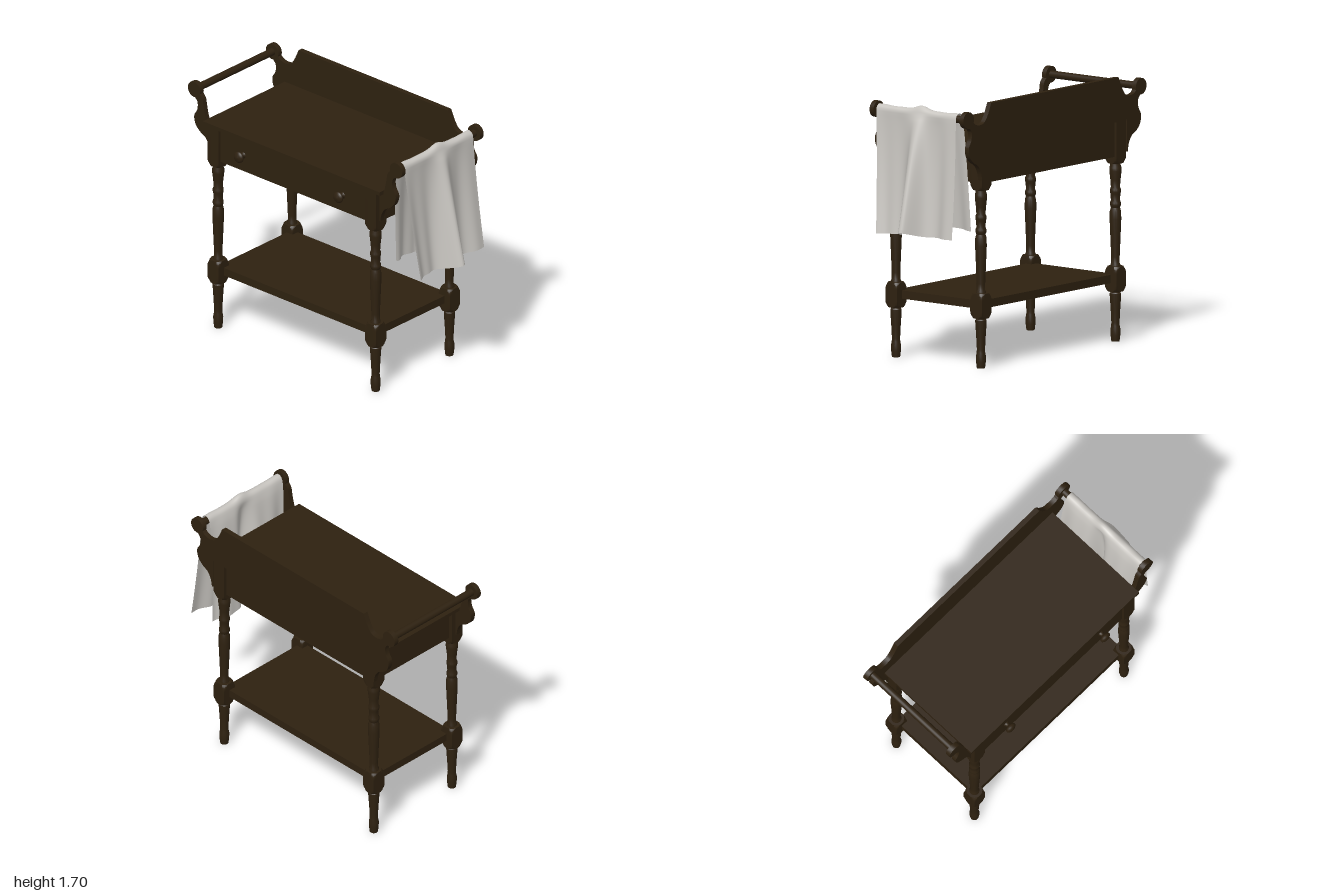
import * as THREE from 'three';
import { toCreasedNormals } from 'three/addons/utils/BufferGeometryUtils.js';

const wood = new THREE.MeshStandardMaterial({ color: 0x2e2110 });
wood.name = 'dark wood';
const linen = new THREE.MeshStandardMaterial({ color: 0xc8c5c0, side: THREE.DoubleSide });
linen.name = 'linen';

const LEG_X = 0.672, LEG_Z = 0.345, HALF = 0.048;
const RAIL_X = 0.862, RAIL_Y = 1.61, SCROLL_R = 0.053;

function add(parent, name, geometry, x = 0, y = 0, z = 0, material = wood) {
  const mesh = new THREE.Mesh(geometry, material);
  mesh.name = name;
  mesh.position.set(x, y, z);
  parent.add(mesh);
  return mesh;
}

function box(parent, name, w, d, y0, y1, x = 0, z = 0) {
  return add(parent, name, new THREE.BoxGeometry(w, y1 - y0, d), x, (y0 + y1) / 2, z);
}

const vectors = (list) => list.map(([x, y]) => new THREE.Vector2(x, y));

// Square block whose corners are turned away towards the ends
function turnedBlock(y0, y1, taperTop) {
  const h = y1 - y0, taper = 0.045, rows = 12;
  const g = new THREE.CylinderGeometry(1, 1, h, 24, rows);
  const p = g.attributes.position;
  for (let i = 0; i < p.count; i++) {
    const row = Math.round((p.getY(i) / h + 0.5) * rows);
    // rows gather in the tapered ends
    const y = row <= 6 ? (row / 6) * taper : h - ((rows - row) / 5) * taper;
    const near = Math.min(y, taperTop ? h - y : h);
    const s = Math.min(near / taper, 1);
    const r = HALF * (1.04 + 0.375 * Math.sin(s * Math.PI / 2));
    const c = (v) => THREE.MathUtils.clamp(v * r, -HALF, HALF);
    p.setXYZ(i, c(p.getX(i)), y - h / 2, c(p.getZ(i)));
  }
  return toCreasedNormals(g, 0.5);
}

// Turned legs with square blocks at the shelf and the drawer case
function addLegs(parent) {
  const lower = vectors([[0, 0], [0.026, 0], [0.031, 0.04], [0.032, 0.075], [0.027, 0.1], [0.026, 0.12],
    [0.03, 0.2], [0.036, 0.29], [0.036, 0.305], [0.031, 0.312], [0.031, 0.33]]);
  const upper = vectors([[0.032, 0.47], [0.032, 0.49], [0.027, 0.5], [0.027, 0.54], [0.032, 0.66], [0.037, 0.78],
    [0.036, 0.83], [0.029, 0.855], [0.035, 0.87], [0.035, 0.885], [0.029, 0.9], [0.031, 0.94],
    [0.035, 0.955], [0.035, 0.97], [0.029, 0.985], [0.032, 1.03], [0.039, 1.09], [0.039, 1.11],
    [0.033, 1.125], [0.033, 1.15]]);
  const parts = {
    legFoot: [toCreasedNormals(new THREE.LatheGeometry(lower, 20), 0.6), 0],
    legShaft: [toCreasedNormals(new THREE.LatheGeometry(upper, 20), 0.6), 0],
    shelfBlock: [turnedBlock(0.32, 0.48, true), 0.4],
    caseBlock: [turnedBlock(1.14, 1.412, false), 1.276],
  };
  for (const sx of [-1, 1]) for (const sz of [-1, 1]) {
    const leg = new THREE.Group();
    leg.name = (sz > 0 ? 'front' : 'back') + (sx > 0 ? 'Left' : 'Right') + 'Leg';
    leg.position.set(sx * LEG_X, 0, sz * LEG_Z);
    for (const [name, [g, y]] of Object.entries(parts)) add(leg, name, g, 0, y);
    parent.add(leg);
  }
}

// Scroll end and the outer S-curve shared by the back board and the arms
function scrollEdge(path) {
  const deg = Math.PI / 180;
  path.absarc(RAIL_X, RAIL_Y, SCROLL_R, 200 * deg, -100 * deg, true);
  path.splineThru(vectors([[0.832, 1.53], [0.834, 1.48], [0.86, 1.43], [0.85, 1.374],
    [0.815, 1.335], [0.765, 1.305], [0.738, 1.26], [0.728, 1.21]]));
  path.lineTo(0.719, 1.21);
  path.lineTo(0.719, 1.42);
}

function extrude(points, depth) {
  const g = new THREE.ExtrudeGeometry(new THREE.Shape(points), { depth, bevelEnabled: false });
  return toCreasedNormals(g, 0.6);
}

const mirrored = (points) => points.map((p) => new THREE.Vector2(-p.x, p.y)).reverse();

function addBoardAndArms(parent) {
  const half = new THREE.Path();
  half.moveTo(0.637, 1.695);
  half.splineThru(vectors([[0.65, 1.665], [0.672, 1.62], [0.705, 1.578], [0.75, 1.566], [0.79, 1.574], [0.812, 1.592]]));
  scrollEdge(half);
  const right = half.getPoints(8);
  add(parent, 'backBoard', extrude([...right, ...mirrored(right)], 0.033), 0, 0, -0.4);

  const arm = new THREE.Path();
  arm.moveTo(0.755, 1.42);
  arm.splineThru(vectors([[0.768, 1.46], [0.781, 1.52], [0.79, 1.565], [0.812, 1.592]]));
  scrollEdge(arm);
  const outline = arm.getPoints(8);
  add(parent, 'leftFrontArm', extrude(outline, 0.033), 0, 0, 0.33);
  add(parent, 'rightFrontArm', extrude(mirrored(outline), 0.033), 0, 0, 0.33);

  const rail = new THREE.CylinderGeometry(0.024, 0.024, 0.72, 20).rotateX(Math.PI / 2);
  for (const s of [-1, 1]) add(parent, s > 0 ? 'leftTowelRail' : 'rightTowelRail', rail, s * RAIL_X, RAIL_Y, -0.015);
}

// Towel draped over the left rail, with one deep fold down the middle
function towelGeometry() {
  const g = new THREE.PlaneGeometry(1, 1, 60, 64);
  const p = g.attributes.position;
  const arcHalf = 0.06;
  for (let i = 0; i < p.count; i++) {
    const across = p.getX(i), t = p.getY(i);
    const outer = t > 0;
    const d = Math.max(0, (Math.abs(t) - arcHalf) / (0.5 - arcHalf));
    const z0 = across * 0.645;
    const fold = Math.exp(-(((z0 + 0.025) / 0.055) ** 2));
    const ripple = 0.016 * Math.cos(z0 * 19) + 0.007 * Math.sin(z0 * 43 + (outer ? 0 : 2));
    const drape = Math.pow(d, 0.6);
    let x, y;
    if (d === 0) {
      const a = (t / arcHalf) * (Math.PI / 2);
      x = RAIL_X + 0.033 * Math.sin(a);
      y = RAIL_Y + (0.033 + 0.02 * fold + 0.15 * (ripple + 0.01)) * Math.cos(a);
    } else if (outer) {
      x = 0.895 + 0.062 * Math.pow(d, 1.5) + drape * (0.128 * fold + ripple);
      y = RAIL_Y - d * (0.765 - 0.035 * fold + 0.015 * across);
    } else {
      x = 0.829 - 0.075 * drape + drape * (0.115 * fold + ripple);
      y = RAIL_Y - d * (0.715 - 0.03 * fold - 0.02 * across);
    }
    const z = z0 - d * (across > 0 ? 0.13 * across : -0.05 * across);
    p.setXYZ(i, x, y, z);
  }
  g.computeVertexNormals();
  return g;
}

export function createModel() {
  const root = new THREE.Group();
  root.name = 'washstand';
  const stand = new THREE.Group();
  stand.name = 'stand';
  stand.position.set(-0.0875, 0, -0.02);
  root.add(stand);

  addLegs(stand);

  // Shelf, drawer case and table top
  box(stand, 'shelf', 1.344, 0.69, 0.376, 0.429);
  box(stand, 'case', 1.39, 0.75, 1.185, 1.412);
  box(stand, 'drawerFront', 1.238, 0.02, 1.192, 1.402, 0, 0.373);
  box(stand, 'tableTop', 1.51, 0.795, 1.41, 1.435);

  // Drawer knobs
  const knob = new THREE.LatheGeometry(vectors([[0.022, 0], [0.016, 0.008], [0.014, 0.022], [0.03, 0.03],
    [0.037, 0.038], [0.036, 0.048], [0.024, 0.057], [0, 0.061]]), 24).rotateX(Math.PI / 2);
  for (const s of [-1, 1]) add(stand, s > 0 ? 'leftKnob' : 'rightKnob', knob, s * 0.425, 1.3, 0.382);

  addBoardAndArms(stand);
  add(stand, 'towel', towelGeometry(), 0, 0, 0, linen);
  return root;
}
